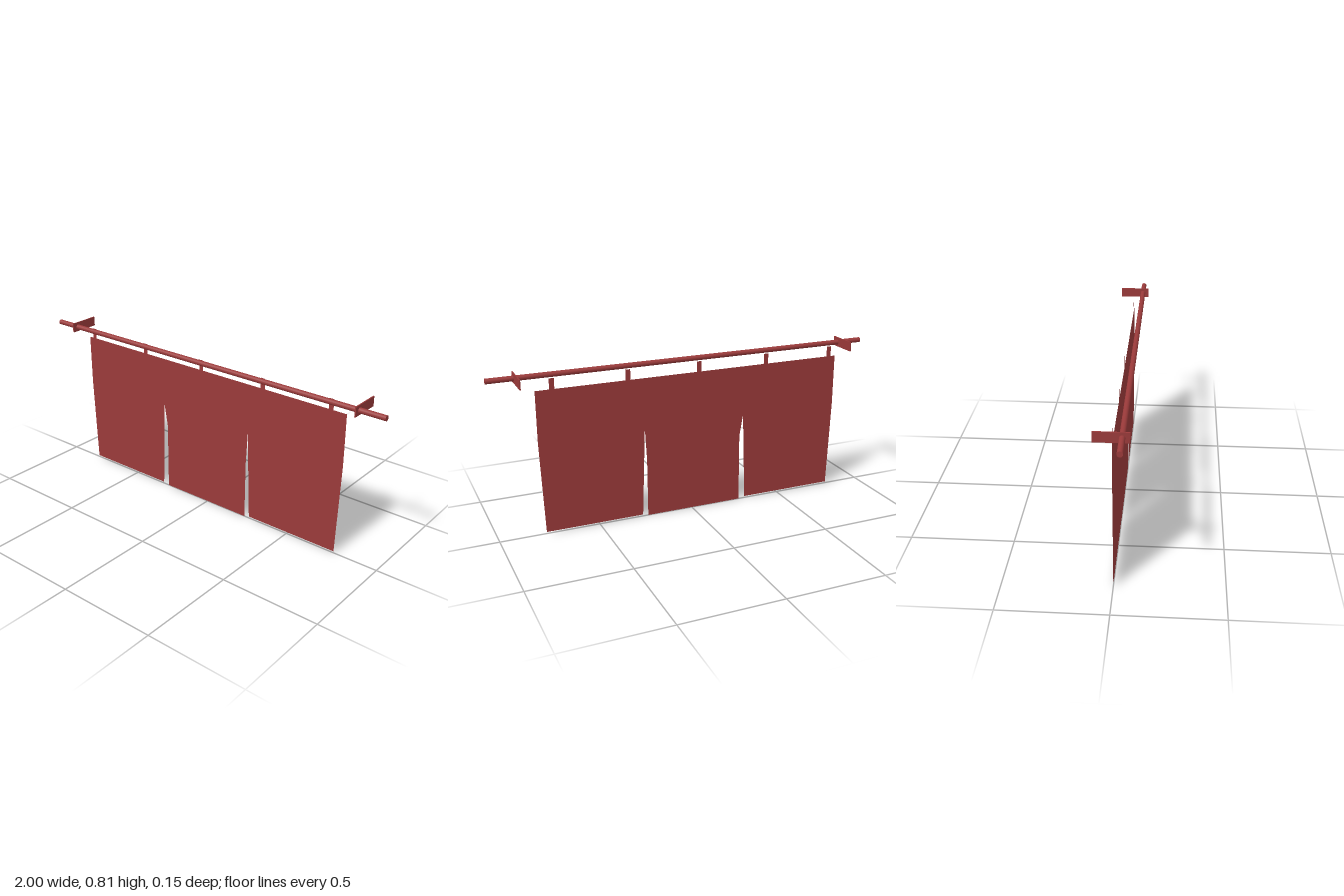
import * as THREE from 'three';

const ROD_Y = 0.786;
const ROD_Z = 0.045;

export function createModel() {
  const group = new THREE.Group();
  const red = new THREE.MeshStandardMaterial({ color: 0x9a3a3a });
  const cloth = red.clone();
  cloth.side = THREE.DoubleSide;

  const add = (name, geometry, material, x, y, z) => {
    const mesh = new THREE.Mesh(geometry, material);
    mesh.name = name;
    mesh.position.set(x, y, z);
    group.add(mesh);
    return mesh;
  };

  // Hanging rod
  const rod = new THREE.CylinderGeometry(0.013, 0.013, 2, 20).rotateZ(Math.PI / 2);
  add('rod', rod, red, 0, ROD_Y, ROD_Z);

  // Thin wall brackets carrying the rod
  const bracket = new THREE.BoxGeometry(0.006, 0.048, 0.154);
  add('leftBracket', bracket, red, 0.867, 0.787, 0);
  add('rightBracket', bracket, red, -0.867, 0.787, 0);

  // Flat curtain with two slits dividing it into three panels
  const outline = [
    [-0.823, 0.727], [-0.823, 0.47], [-0.807, 0.008], [-0.305, 0.008],
    [-0.288, 0.47], [-0.269, 0.355], [-0.271, 0],
    [0.242, 0], [0.243, 0.3], [0.252, 0.47], [0.27, 0.008],
    [0.77, 0.008], [0.786, 0.47], [0.786, 0.727],
  ].map(([x, y]) => new THREE.Vector2(x, y));
  add('curtain', new THREE.ShapeGeometry(new THREE.Shape(outline)), cloth, 0, 0, 0);

  // Hanging tabs along the top edge
  const tab = new THREE.PlaneGeometry(0.025, 0.053);
  for (let i = 0; i < 5; i++) {
    add(`tab${i + 1}`, tab, cloth, -0.785 + i * 0.3725, 0.7535, 0);
  }

  return group;
}
